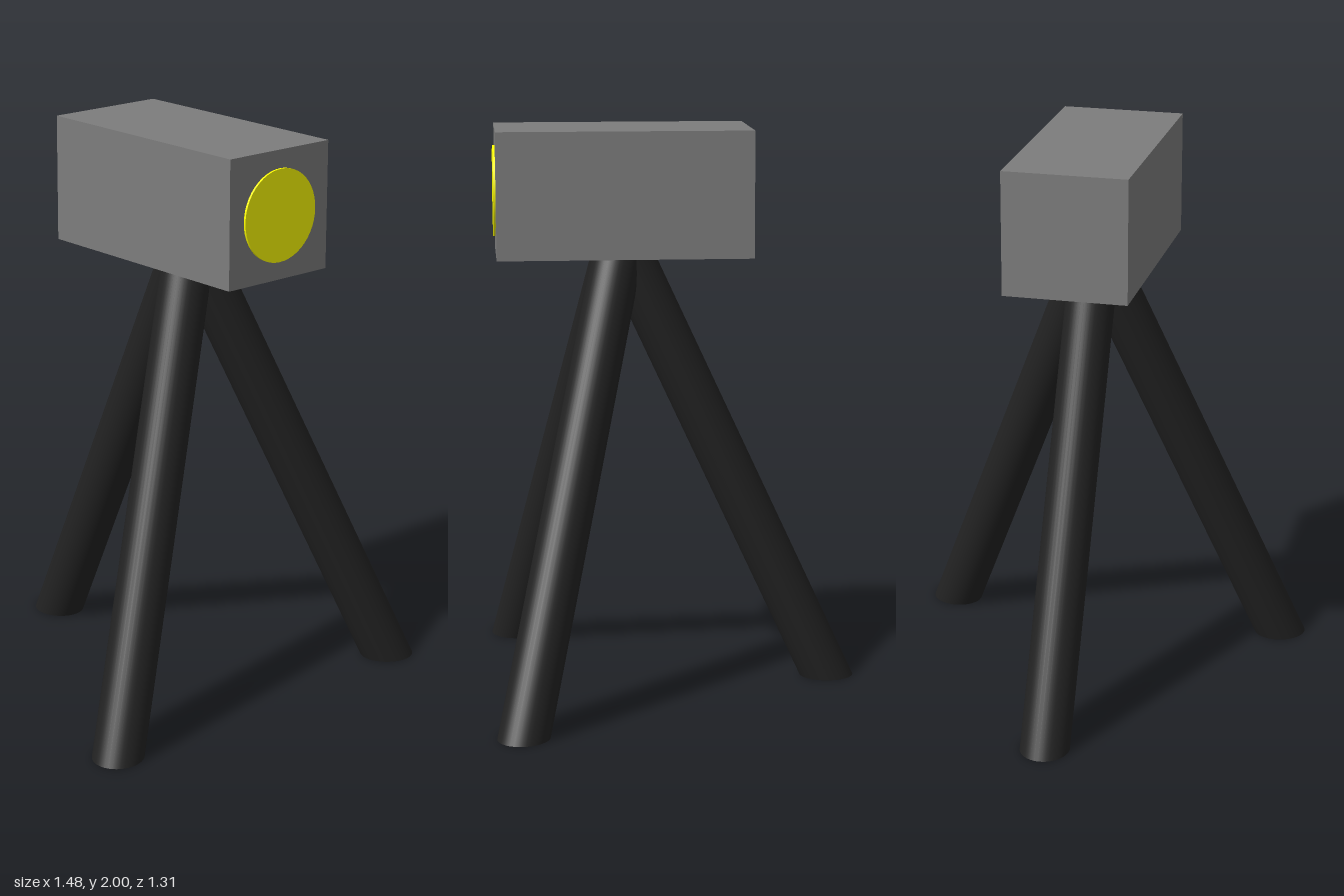
import * as THREE from 'three';

export function createModel() {
  const model = new THREE.Group();
  model.name = 'tripodCamera';

  const add = (parent, name, geometry, color) => {
    const mesh = new THREE.Mesh(geometry, new THREE.MeshStandardMaterial({ color }));
    mesh.name = name;
    parent.add(mesh);
    return mesh;
  };

  // Box-shaped body
  const bodyBottom = 1.56, bodyTop = 2, bodyFront = 0.63, bodyBack = -0.257;
  const bodyY = (bodyBottom + bodyTop) / 2;
  const body = add(model, 'body',
    new THREE.BoxGeometry(0.44, bodyTop - bodyBottom, bodyFront - bodyBack), 0x7d7d7d);
  body.position.set(0, bodyY, (bodyFront + bodyBack) / 2);

  // Round lens, a thin disc standing just proud of the front
  const lensGeometry = new THREE.CylinderGeometry(0.158, 0.158, 0.02, 48).rotateX(Math.PI / 2);
  const lens = add(model, 'lens', lensGeometry, 0xffff00);
  lens.position.set(0, bodyY, bodyFront - 0.002);

  // Three splayed round legs meeting inside the body, cut level at the floor
  const legRadius = 0.088, spread = 0.746, apex = 1.605;
  const slope = spread / apex;
  const stretch = Math.hypot(1, slope); // a level cut through a slanted tube is an ellipse
  const legGeometry = new THREE.CylinderGeometry(legRadius, legRadius, apex, 40);
  legGeometry.translate(0, apex / 2, 0);
  legGeometry.applyMatrix4(new THREE.Matrix4().set(
    1, 0, 0, 0,
    0, 1, 0, 0,
    0, -slope, stretch, spread,
    0, 0, 0, 1));

  const legs = new THREE.Group();
  legs.name = 'tripodLegs';
  legs.position.z = 0.192;
  model.add(legs);
  [['leftLeg', Math.PI / 3], ['rightLeg', -Math.PI / 3], ['backLeg', Math.PI]].forEach(([name, angle]) => {
    add(legs, name, legGeometry, 0x222222).rotation.y = angle;
  });

  return model;
}
